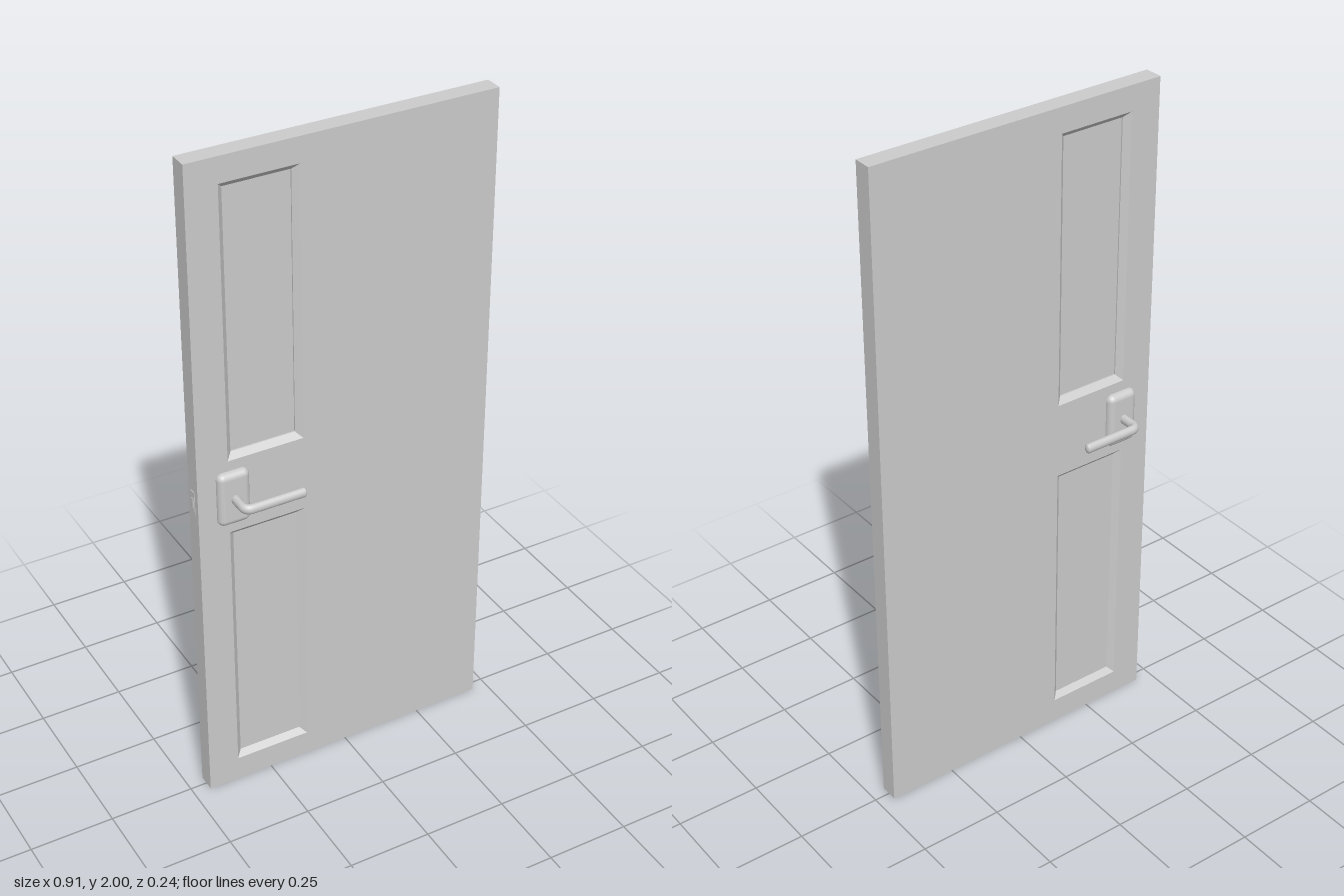
import * as THREE from 'three';
import { RoundedBoxGeometry } from 'three/addons/geometries/RoundedBoxGeometry.js';

const LEFT = -0.449, RIGHT = 0.4535, HALF = 0.027;
const HANDLE_Y = 1.002;
const PANEL = { x: -0.243, w: 0.228, h: 0.81, bevel: 0.017 };
const material = new THREE.MeshStandardMaterial({ color: 0xcccccc });

function add(parent, name, geometry, x = 0, y = 0, z = 0) {
  const mesh = new THREE.Mesh(geometry, material);
  mesh.name = name;
  mesh.position.set(x, y, z);
  parent.add(mesh);
  return mesh;
}

function rectangle(target, x0, y0, x1, y1) {
  target.moveTo(x0, y0);
  target.lineTo(x1, y0);
  target.lineTo(x1, y1);
  target.lineTo(x0, y1);
  target.closePath();
  return target;
}

// Mitred frame joining successive rectangles, each given as [width, height, z]
function mitredFrame(rings) {
  const corners = rings.map(([w, h, z]) =>
    [[-1, -1], [1, -1], [1, 1], [-1, 1]].map(([sx, sy]) => [sx * w / 2, sy * h / 2, z]));
  const points = [];
  for (let r = 0; r < rings.length - 1; r++) {
    for (let i = 0; i < 4; i++) {
      const j = (i + 1) % 4;
      const [a, b, c, d] = [corners[r][i], corners[r][j], corners[r + 1][j], corners[r + 1][i]];
      points.push(...a, ...b, ...c, ...a, ...c, ...d);
    }
  }
  const geometry = new THREE.BufferGeometry();
  geometry.setAttribute('position', new THREE.Float32BufferAttribute(points, 3));
  geometry.computeVertexNormals();
  return geometry;
}

// Recessed panel with bevelled surrounds on both faces
function createPanel(name, y, step) {
  const group = new THREE.Group();
  group.name = name;
  group.position.set(PANEL.x, y, 0);
  const { w, h, bevel } = PANEL;
  const iw = w - 2 * bevel, ih = h - 2 * bevel, floor = HALF - 0.016;
  const rings = [[w, h, HALF], [iw, ih, floor]];
  if (step) rings.push([iw, ih, floor - step]);
  const frame = mitredFrame(rings);
  add(group, 'frontBevel', frame);
  add(group, 'backBevel', frame).rotation.y = Math.PI;
  add(group, 'panelBoard', new THREE.BoxGeometry(iw, ih, 2 * (floor - step)));
  return group;
}

// Lever: neck out of the plate, rounded bend, straight grip with a blunt end
function createLever(name) {
  const group = new THREE.Group();
  group.name = name;
  const neckX = -0.347, reach = 0.106, bend = 0.022, endX = -0.173, radius = 0.012;
  const path = new THREE.CurvePath();
  const a = new THREE.Vector3(neckX, 0, 0.03);
  const b = new THREE.Vector3(neckX, 0, reach - bend);
  const corner = new THREE.Vector3(neckX, 0, reach);
  const c = new THREE.Vector3(neckX + bend, 0, reach);
  const d = new THREE.Vector3(endX, 0, reach);
  path.add(new THREE.LineCurve3(a, b));
  path.add(new THREE.QuadraticBezierCurve3(b, corner, c));
  path.add(new THREE.LineCurve3(c, d));
  add(group, 'leverBar', new THREE.TubeGeometry(path, 60, radius, 20));
  const tip = add(group, 'leverTip', new THREE.SphereGeometry(radius, 20, 14), endX, 0, reach);
  tip.scale.x = 0.6;
  group.scale.y = 1.2;
  group.position.y = HANDLE_Y;
  return group;
}

export function createModel() {
  const model = new THREE.Group();
  model.name = 'door';

  // Slab with two panel openings
  const panelYs = [1.521, 0.481];
  const slab = rectangle(new THREE.Shape(), LEFT, 0, RIGHT, 2);
  for (const y of panelYs) {
    slab.holes.push(rectangle(new THREE.Path(),
      PANEL.x - PANEL.w / 2, y - PANEL.h / 2, PANEL.x + PANEL.w / 2, y + PANEL.h / 2));
  }
  const slabGeometry = new THREE.ExtrudeGeometry(slab, { depth: 2 * HALF, bevelEnabled: false });
  add(model, 'doorSlab', slabGeometry, 0, 0, -HALF);
  model.add(createPanel('upperPanel', panelYs[0], 0.004));
  model.add(createPanel('lowerPanel', panelYs[1], 0));

  // Rounded handle plates on both faces, one body through the slab
  add(model, 'handlePlate', new RoundedBoxGeometry(0.096, 0.166, 0.094, 5, 0.019), -0.346, HANDLE_Y, 0);

  // Levers on both sides
  model.add(createLever('frontLever'));
  const backLever = createLever('backLever');
  backLever.rotation.x = Math.PI;
  model.add(backLever);

  // Latch plate and bolt on the opening edge
  add(model, 'latchPlate', new THREE.BoxGeometry(0.006, 0.072, 0.02), LEFT + 0.001, 1, 0);
  const bolt = add(model, 'latchBolt', new THREE.CylinderGeometry(0.008, 0.008, 0.03, 16), LEFT, 1, 0);
  bolt.scale.x = 0.56;

  return model;
}
